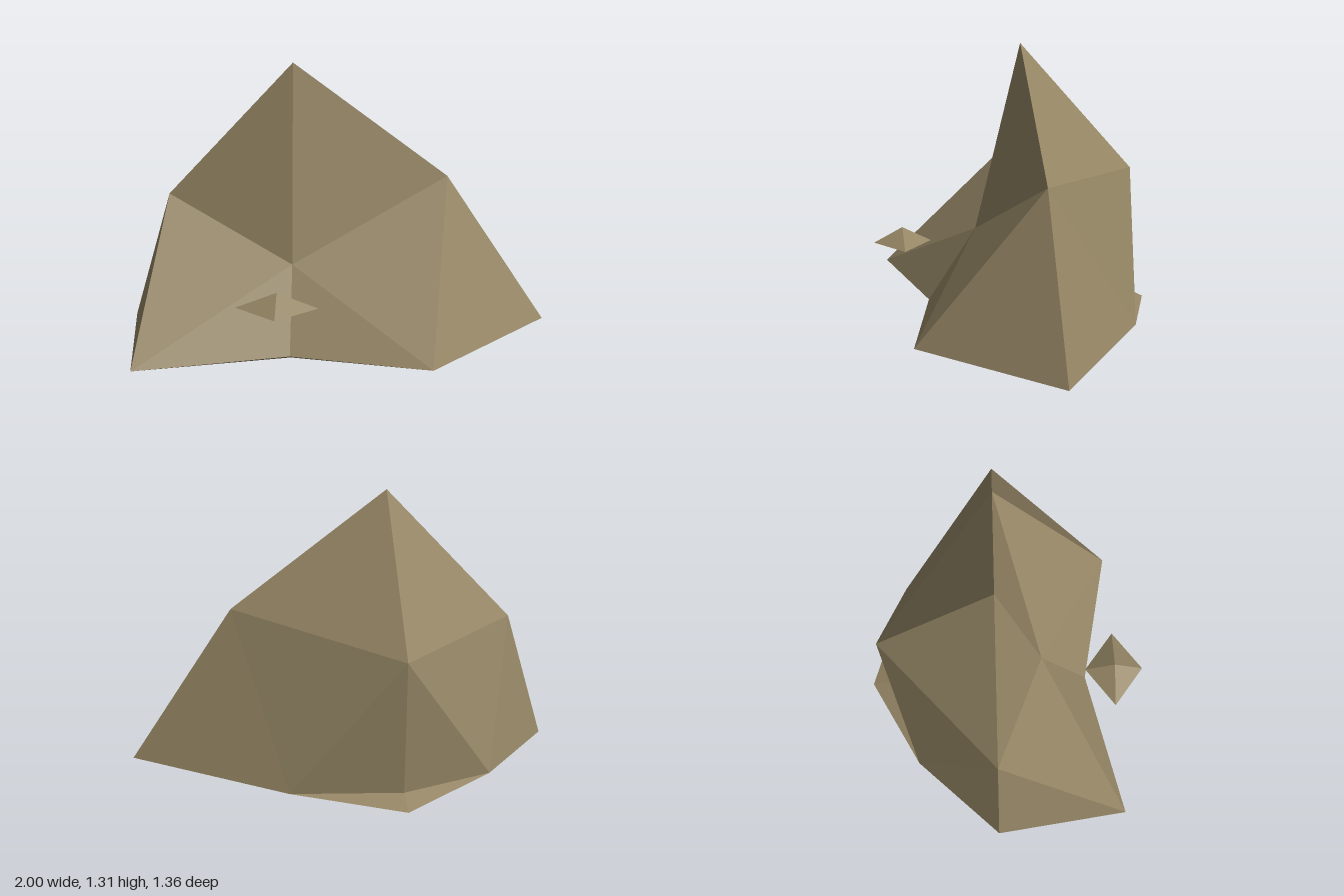
import * as THREE from 'three';

// Flat-shaded solid from four-sided stacked rings, laid out like a split octahedron.
// Corners run +x, +z, -x, -z; diagonals sit between consecutive corners.
function facetedRock({ apex, upper, corners, diagonals, lower, base }) {
  const positions = [];
  const face = (...points) => points.forEach((p) => positions.push(...p));
  for (let i = 0; i < 4; i++) {
    const j = (i + 1) % 4;
    const d = diagonals[i];
    // upper half
    face(apex, upper[j], upper[i]);
    face(upper[i], upper[j], d);
    face(upper[i], d, corners[i]);
    face(upper[j], corners[j], d);
    // lower half
    face(base, lower[i], lower[j]);
    face(lower[i], d, lower[j]);
    face(lower[i], corners[i], d);
    face(lower[j], d, corners[j]);
  }
  const geometry = new THREE.BufferGeometry();
  geometry.setAttribute('position', new THREE.Float32BufferAttribute(positions, 3));
  geometry.computeVertexNormals();
  return geometry;
}

export function createModel() {
  const model = new THREE.Group();
  model.name = 'rocks';

  const stone = new THREE.MeshStandardMaterial({ color: 0x948564 });
  stone.name = 'stone';
  stone.flatShading = true;

  // Large boulder with a hollowed front and a flat underside
  const x = -0.21;
  const z = -0.045;
  const boulder = new THREE.Mesh(facetedRock({
    apex: [x, 1.31, z],
    upper: [[0.515, 0.77, z], [x, 0.4, 0.18], [-0.81, 0.67, z], [x, 0.68, -0.6]],
    corners: [[1, 0.042, z], [x, 0.042, 0.415], [-1, 0.042, z], [x, 0.042, -0.572]],
    diagonals: [[0.44, 0.042, 0.54], [-0.91, 0.042, 0.585], [-0.64, 0.042, -0.44], [0.3, 0.042, -0.51]],
    lower: [[0.48, 0, z], [x, 0.01, 0.36], [-0.73, 0.01, z], [x, 0, -0.68]],
    base: [x, 0, z],
  }), stone);
  boulder.name = 'boulder';
  model.add(boulder);

  // Small stone chip in front: an octahedron, taller above its waist than below
  const chipGeometry = new THREE.OctahedronGeometry(1);
  const p = chipGeometry.attributes.position;
  for (let i = 0; i < p.count; i++) {
    const y = p.getY(i);
    p.setXYZ(i, p.getX(i) * 0.184, y * (y > 0 ? 0.073 : 0.045), p.getZ(i) * 0.14);
  }
  chipGeometry.computeVertexNormals();
  const chip = new THREE.Mesh(chipGeometry, stone);
  chip.name = 'stoneChip';
  chip.position.set(-0.25, 0.336, 0.536);
  chip.position.x = -0.255;
  model.add(chip);

  return model;
}
